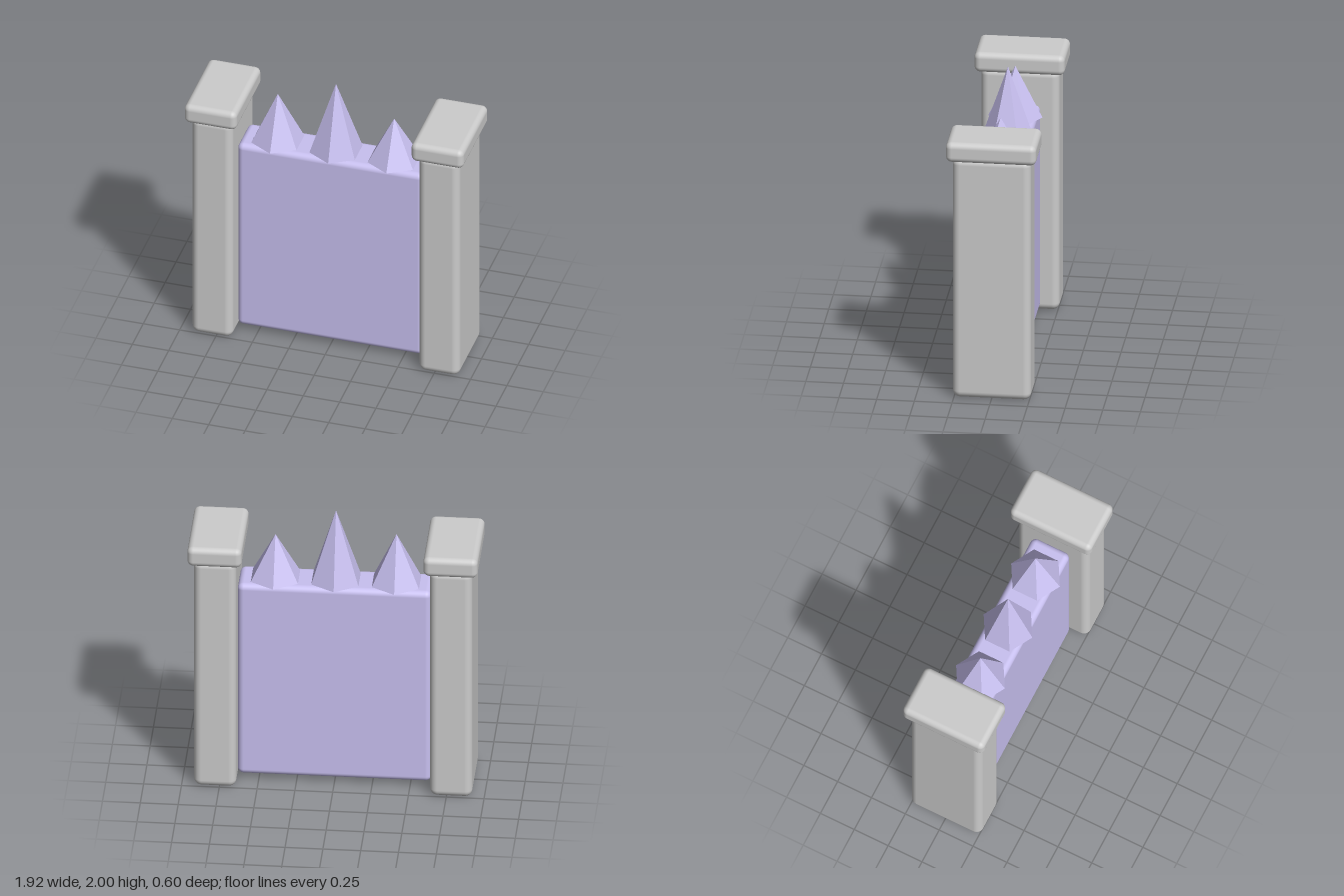
import * as THREE from 'three';
import { RoundedBoxGeometry } from 'three/addons/geometries/RoundedBoxGeometry.js';

export function createModel() {
  const group = new THREE.Group();
  const stone = new THREE.MeshStandardMaterial({ color: 0xcccccc });
  const violet = new THREE.MeshStandardMaterial({ color: 0xc8c0f0 });
  const violetFlat = new THREE.MeshStandardMaterial({ color: 0xc8c0f0, flatShading: true });

  // Soft-edged block standing on the given base height
  function block(name, w, h, d, radius, x, base, material) {
    const mesh = new THREE.Mesh(new RoundedBoxGeometry(w, h, d, 4, radius), material);
    mesh.name = name;
    mesh.position.set(x, base + h / 2, 0);
    group.add(mesh);
  }

  // Panel between the posts
  block('gatePanel', 1.28, 1.44, 0.28, 0.04, 0, 0.04, violet);

  // Posts with overhanging caps, mirrored left and right
  for (const [side, s] of [['left', 1], ['right', -1]]) {
    block(side + 'Post', 0.28, 1.71, 0.52, 0.05, s * 0.78, 0, stone);
    block(side + 'PostCap', 0.36, 0.14, 0.6, 0.04, s * 0.78, 1.69, stone);
  }

  // Six-sided spikes along the top edge
  const spikes = [['rightSpike', -0.4, 0.36], ['middleSpike', 0, 0.52], ['leftSpike', 0.4, 0.32]];
  for (const [name, x, h] of spikes) {
    const spike = new THREE.Mesh(new THREE.ConeGeometry(0.18, h, 6), violetFlat);
    spike.name = name;
    spike.position.set(x, 1.48 + h / 2, 0);
    group.add(spike);
  }

  return group;
}
